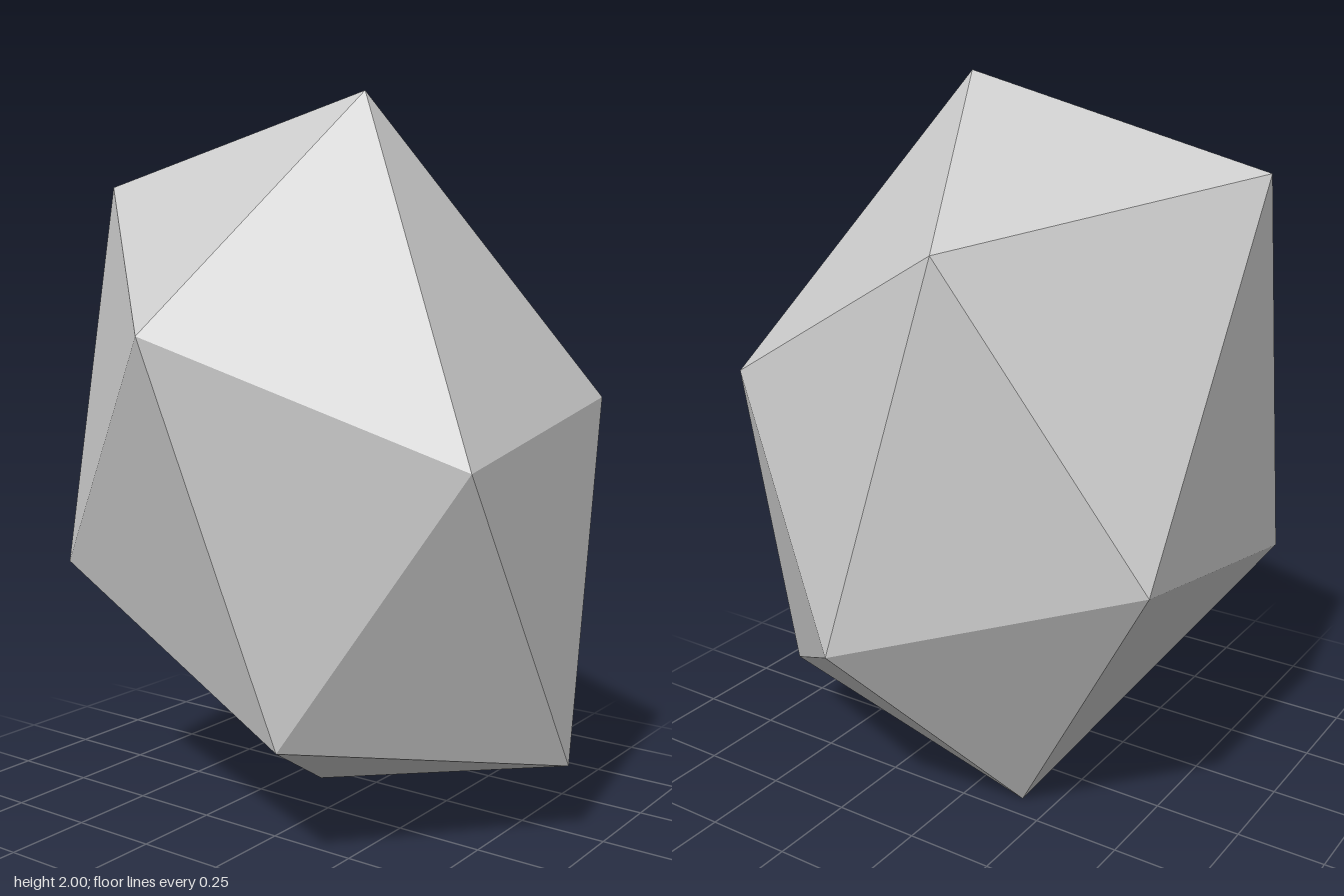
import * as THREE from 'three';

// An irregular twenty-sided stone: a tip, two rings of five corners, and a foot.
export function createModel() {
  const stone = new THREE.MeshStandardMaterial({ color: 0xcccccc });
  stone.name = 'stone grey';

  const tip = [0.22, 2.0, 0.143];
  const foot = [-0.158, 0.0, -0.18];
  // Both rings run counter-clockwise seen from above
  const upper = [
    [-0.675, 1.787, 0.14],
    [-0.087, 1.392, 0.672],
    [0.648, 1.077, 0.317],
    [0.645, 1.205, -0.389],
    [-0.155, 1.646, -0.575],
  ];
  const lower = [
    [-0.657, 0.714, 0.37],
    [0.193, 0.346, 0.487],
    [0.673, 0.219, -0.183],
    [0.13, 0.586, -0.673],
    [-0.657, 0.85, -0.405],
  ];

  // Caps at both ends and a zigzag belt between the rings
  const positions = [];
  const face = (...corners) => positions.push(...corners.flat());
  for (let i = 0; i < 5; i++) {
    const j = (i + 1) % 5;
    face(tip, upper[i], upper[j]);
    face(upper[i], lower[i], upper[j]);
    face(lower[i], lower[j], upper[j]);
    face(foot, lower[j], lower[i]);
  }

  // Unshared corners give each facet its own flat normal
  const geometry = new THREE.BufferGeometry();
  geometry.setAttribute('position', new THREE.Float32BufferAttribute(positions, 3));
  geometry.computeVertexNormals();

  const rock = new THREE.Mesh(geometry, stone);
  rock.name = 'rock';
  const group = new THREE.Group();
  group.name = 'facetedRock';
  group.add(rock);
  return group;
}
